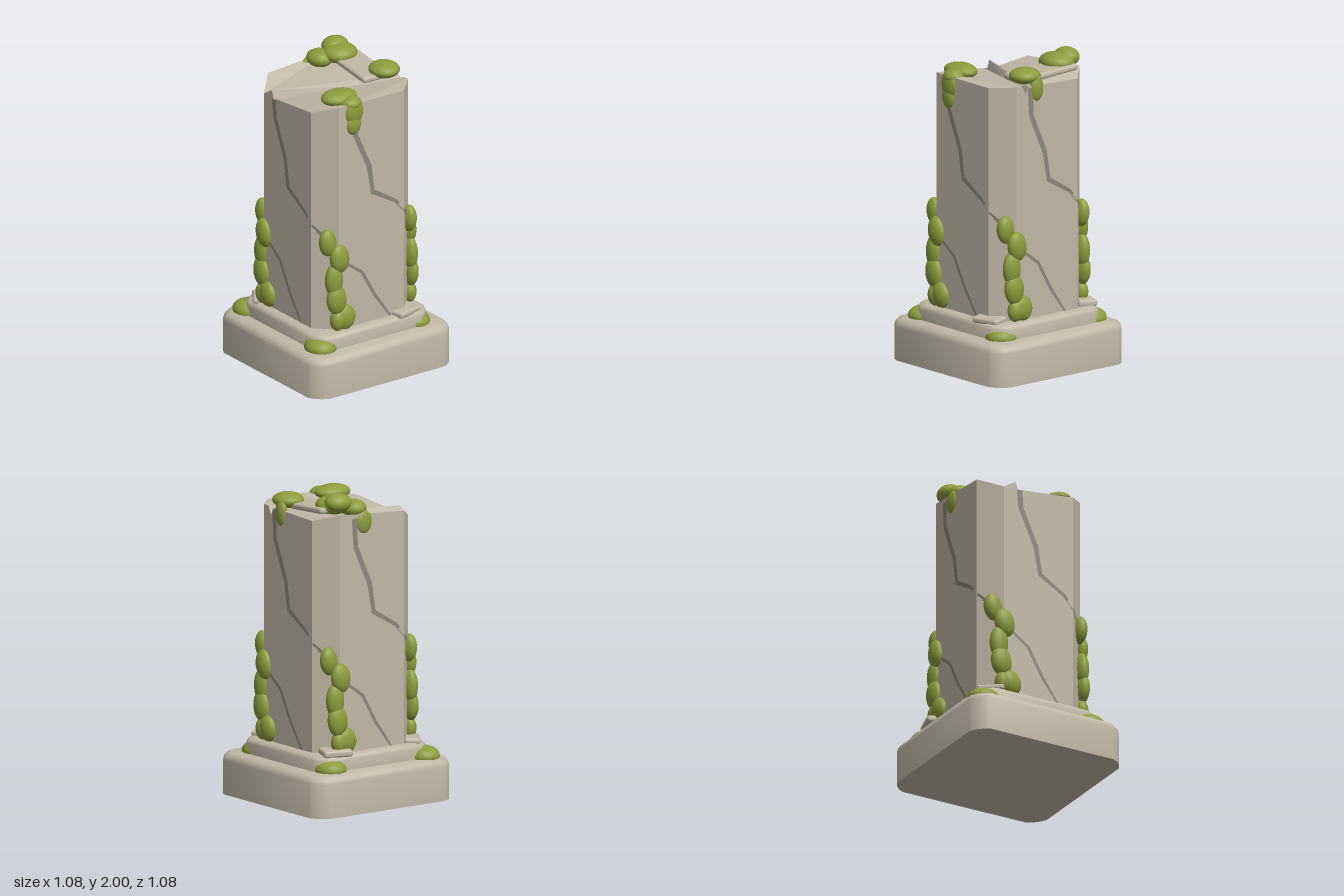
import * as THREE from 'three';
import { toCreasedNormals } from 'three/addons/utils/BufferGeometryUtils.js';
import { RoundedBoxGeometry } from 'three/addons/geometries/RoundedBoxGeometry.js';

const stone = new THREE.MeshStandardMaterial({ color: 0xc0b8a6 });
stone.name = 'stone';
const crackStone = new THREE.MeshStandardMaterial({ color: 0x8c877a, side: THREE.DoubleSide });
crackStone.name = 'crackStone';
const moss = new THREE.MeshStandardMaterial({ color: 0x8c9c3c });
moss.name = 'moss';

const H = 0.373, C = 0.25; // shaft half width, start of the corner chamfer

function add(parent, name, geometry, material) {
  const mesh = new THREE.Mesh(geometry, material);
  mesh.name = name;
  parent.add(mesh);
  return mesh;
}

function fromTriangles(points) {
  const g = new THREE.BufferGeometry();
  g.setAttribute('position', new THREE.Float32BufferAttribute(points.flat(), 3));
  g.computeVertexNormals();
  return g;
}

// Square plinth with cut, softened corners; rings are [inset, y] from bottom to top
function plinth(half, cut, rings) {
  const outline = [];
  for (let q = 0; q < 4; q++) {
    const curve = new THREE.QuadraticBezierCurve(
      new THREE.Vector2(half - cut, half), new THREE.Vector2(half - cut * 0.28, half - cut * 0.28),
      new THREE.Vector2(half, half - cut));
    for (const p of curve.getPoints(6)) outline.push(p.rotateAround(new THREE.Vector2(), -q * Math.PI / 2));
  }
  const n = outline.length, tris = [];
  const at = (r, i) => {
    const s = (half - rings[r][0]) / half, p = outline[i % n];
    return [p.x * s, rings[r][1], p.y * s];
  };
  const last = rings.length - 1;
  for (let i = 0; i < n; i++) {
    for (let r = 0; r < last; r++) {
      const a = at(r, i), b = at(r, i + 1), c = at(r + 1, i + 1), d = at(r + 1, i);
      tris.push(a, b, c, a, c, d);
    }
    tris.push(at(last, i), at(last, i + 1), [0, rings[last][1], 0]);
    tris.push(at(0, i + 1), at(0, i), [0, rings[0][1], 0]);
  }
  return toCreasedNormals(fromTriangles(tris), 0.75);
}

// Eight-sided shaft with a broken, split top
function shaftGeometry() {
  const lipF = [-0.165, 1.825, H], grooveF = [-0.14, 1.745, H], rimF = [-0.12, 1.78, H];
  const rimB = [0.2, 1.855, -H], grooveB = [0.175, 1.8, -H], lipB = [0.15, 1.85, -H];
  const FL = [-C, 1.775, H], FR = [C, 1.815, H], RF = [H, 1.857, C], RB = [H, 1.853, -C];
  const BR = [C, 1.86, -H], BL = [-C, 1.835, -H], LB = [-H, 1.875, -C], LF = [-H, 1.842, C];
  const valley = [0.08, 1.8, -0.11];
  const outline = [FL, lipF, grooveF, rimF, FR, RF, RB, BR, rimB, grooveB, lipB, BL, LB, LF];
  const tris = [];
  outline.forEach((a, i) => {
    const b = outline[(i + 1) % outline.length], a0 = [a[0], 0.3, a[2]], b0 = [b[0], 0.3, b[2]];
    tris.push(a0, b0, b, a0, b, a);
  });
  const top = [
    [rimF, FR, RF, RB, BR, rimB],
    [grooveF, rimF, rimB, grooveB],
    [lipF, grooveF, grooveB, lipB],
    [FL, lipF, lipB, valley],
    [FL, valley, lipB, BL, LB, LF],
  ];
  for (const poly of top) {
    const flat = poly.map(p => new THREE.Vector2(p[0], -p[2]));
    for (const f of THREE.ShapeUtils.triangulateShape(flat, [])) tris.push(...f.map(k => poly[k]));
  }
  return fromTriangles(tris);
}

// Crack ribbon wrapped onto the front face and its chamfers; points are [u, y, width]
function crackGeometry(path) {
  const onShaft = (u, y) => {
    const over = Math.max(0, Math.abs(u) - C);
    return [u + Math.sign(u) * (over ? 0.003 : 0), y, H + 0.003 - over];
  };
  const edges = path.map(([u, y, w], i) => {
    const p = path[Math.max(0, i - 1)], q = path[Math.min(path.length - 1, i + 1)];
    const dx = q[0] - p[0], dy = q[1] - p[1], l = Math.hypot(dx, dy);
    const ox = -dy / l * w / 2, oy = dx / l * w / 2;
    return [onShaft(u - ox, y - oy), onShaft(u + ox, y + oy)];
  });
  const tris = [];
  for (let i = 0; i + 1 < edges.length; i++) {
    const [a, b] = edges[i], [c, d] = edges[i + 1];
    tris.push(a, c, d, a, d, b);
  }
  return fromTriangles(tris);
}

const ball = new THREE.SphereGeometry(1, 24, 16);
function blob(parent, name, x, y, z, rx, ry, rz, tilt = 0) {
  const m = add(parent, name, ball, moss);
  m.position.set(x, y, z);
  m.scale.set(rx, ry, rz);
  m.rotation.z = tilt;
}

export function createModel() {
  const model = new THREE.Group();
  model.name = 'mossyPillar';

  add(model, 'base', plinth(0.54, 0.1, [[0, 0], [0, 0.215], [0.005, 0.237], [0.018, 0.255], [0.04, 0.265]]), stone);
  add(model, 'upperPlinth', plinth(0.436, 0.1, [[0, 0.25], [0, 0.33], [0.006, 0.347], [0.018, 0.357], [0.035, 0.362]]), stone);
  add(model, 'shaft', shaftGeometry(), stone);

  // Loose stones: [x, y, z, width, height, depth, turn, tilt]
  const stones = [
    [-0.075, 1.882, -0.225, 0.44, 0.04, 0.2, -0.06, -0.07],
    [-0.37, 0.375, -0.28, 0.13, 0.045, 0.19, -0.3, 0.05],
    [0.37, 0.37, -0.255, 0.12, 0.04, 0.19, 0.25, -0.05],
    [-0.325, 0.372, 0.345, 0.17, 0.04, 0.1, -0.6, 0.03],
  ];
  stones.forEach(([x, y, z, w, h, d, turn, tilt], i) => {
    const m = add(model, i ? 'plinthStone' : 'topSlab', new RoundedBoxGeometry(w, h, d, 3, 0.017), stone);
    m.position.set(x, y, z);
    m.rotation.set(0, turn, tilt);
  });

  // The same cracks and climbing moss on each of the four sides
  const lowerCrack = [[-0.31, 0.98, 0.02], [-0.25, 0.87, 0.02], [-0.2, 0.8, 0.018], [-0.075, 0.71, 0.022],
    [0.025, 0.53, 0.022], [0.145, 0.362, 0.014]];
  const strand = [[-0.308, 0.95, 0.06, 0.09, 0.1], [-0.245, 0.84, 0.068, 0.095, 0.15], [-0.28, 0.7, 0.062, 0.11, 0],
    [-0.268, 0.57, 0.07, 0.1, 0.1], [-0.205, 0.44, 0.075, 0.085, 0.3], [-0.26, 0.43, 0.05, 0.07, 0]];
  for (let q = 0; q < 4; q++) {
    const side = new THREE.Group();
    side.name = 'sideDetails';
    side.rotation.y = q * Math.PI / 2;
    const upperCrack = [[-0.138, q ? 1.84 : 1.775, 0.042], [-0.13, 1.66, 0.036], [-0.02, 1.41, 0.036], [0.01, 1.23, 0.034],
      [0.18, 1.13, 0.024], [0.25, 1.05, 0.02], [0.31, 0.98, 0.02]];
    add(side, 'upperCrack', crackGeometry(upperCrack), crackStone);
    add(side, 'lowerCrack', crackGeometry(lowerCrack), crackStone);
    for (const [x, y, rx, ry, tilt] of strand) {
      const onChamfer = Math.max(0, -x - 0.27);
      blob(side, 'climbingMoss', x, y, H - onChamfer, rx, ry, 0.045, tilt);
    }
    model.add(side);
  }

  // Moss at the plinth corners
  for (const [x, z] of [[-0.4, 0.38], [0.357, 0.38], [-0.385, -0.335], [0.345, -0.345]])
    blob(model, 'cornerMoss', x, 0.275, z, 0.107, 0.065, 0.1);

  // Moss cushions on the top, some hanging over the edge
  blob(model, 'topMoss', -0.235, 1.915, -0.2, 0.105, 0.06, 0.115);
  blob(model, 'topMoss', -0.3, 1.94, -0.21, 0.075, 0.06, 0.09);
  blob(model, 'topMoss', -0.29, 1.89, -0.085, 0.09, 0.055, 0.08);
  blob(model, 'hangingMoss', -0.365, 1.81, -0.06, 0.028, 0.075, 0.06);
  blob(model, 'topMoss', 0.11, 1.9, -0.29, 0.102, 0.05, 0.098);
  blob(model, 'hangingMoss', 0.08, 1.83, -0.365, 0.05, 0.085, 0.03);
  blob(model, 'topMoss', 0.25, 1.87, 0.16, 0.09, 0.048, 0.123);
  blob(model, 'topMoss', 0.335, 1.85, 0.13, 0.062, 0.045, 0.072);
  blob(model, 'hangingMoss', 0.365, 1.8, 0.13, 0.032, 0.085, 0.07);
  blob(model, 'hangingMoss', 0.37, 1.72, 0.135, 0.026, 0.07, 0.055);

  return model;
}
